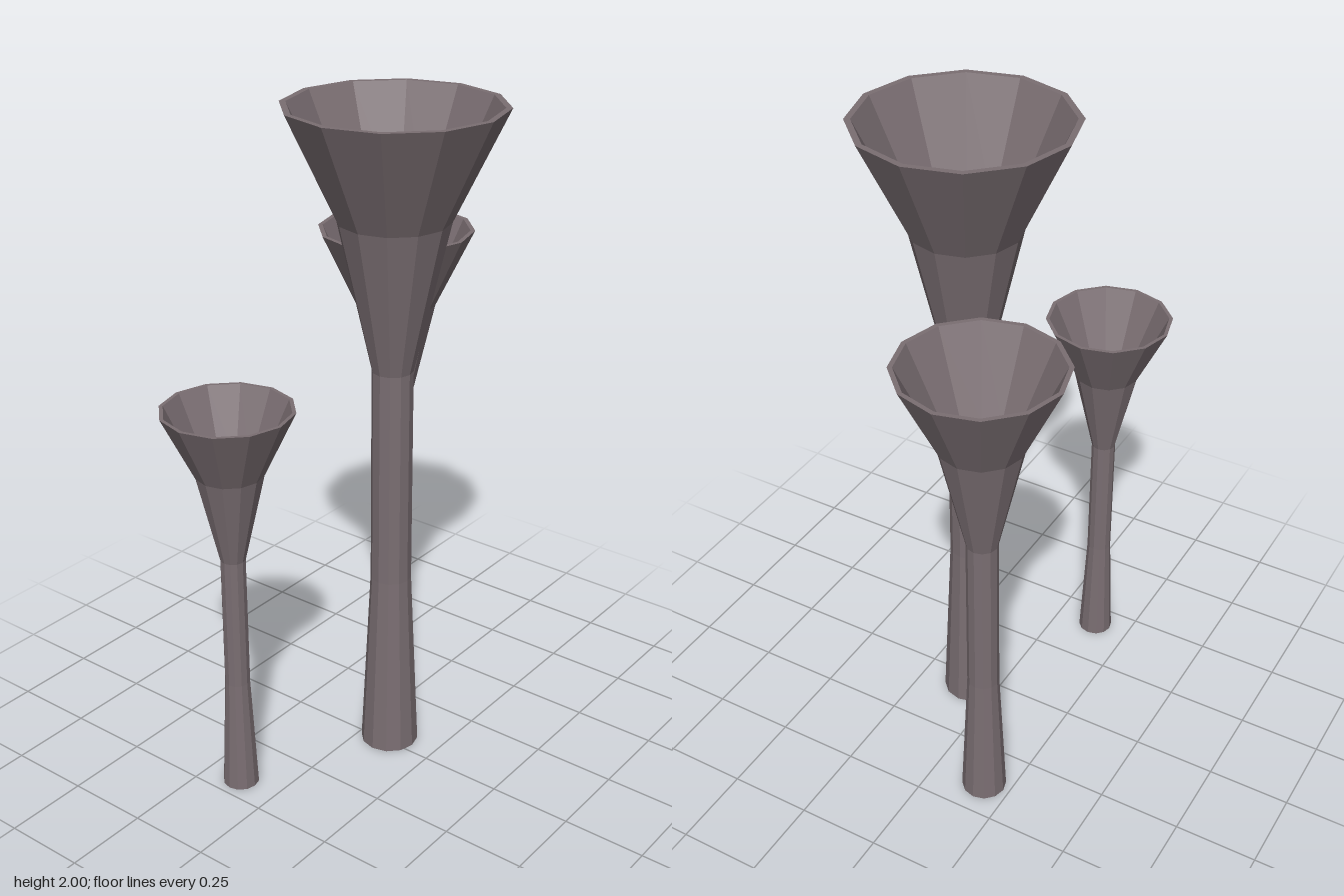
import * as THREE from 'three';

// Outer profile of the tallest trumpet: [radius, height]
const PROFILE = [[0.088, 0], [0.061, 0.58], [0.06, 1.245], [0.16, 1.685], [0.31, 2]];
const WALL = 0.018;

// Hollow twelve-sided trumpet: outside going up, flat rim, inside going down, foot ring
function trumpetGeometry() {
  const outer = PROFILE.map(([r, y]) => new THREE.Vector2(r, y));
  const inner = PROFILE.map(([r, y]) => new THREE.Vector2(r - WALL, y)).reverse();
  return new THREE.LatheGeometry([...outer, ...inner, outer[0].clone()], 12);
}

export function createModel() {
  const group = new THREE.Group();
  group.name = 'trumpetCluster';
  const material = new THREE.MeshStandardMaterial({ color: 0x7a6e72, flatShading: true });
  const geometry = trumpetGeometry();

  // The same trumpet at three sizes
  const trumpets = [
    ['tallTrumpet', 0.087, -0.03, 1],
    ['middleTrumpet', -0.164, -0.383, 0.763],
    ['shortTrumpet', -0.133, 0.424, 0.612],
  ];
  for (const [name, x, z, scale] of trumpets) {
    const mesh = new THREE.Mesh(geometry, material);
    mesh.name = name;
    mesh.position.set(x, 0, z);
    mesh.scale.setScalar(scale);
    group.add(mesh);
  }
  return group;
}
